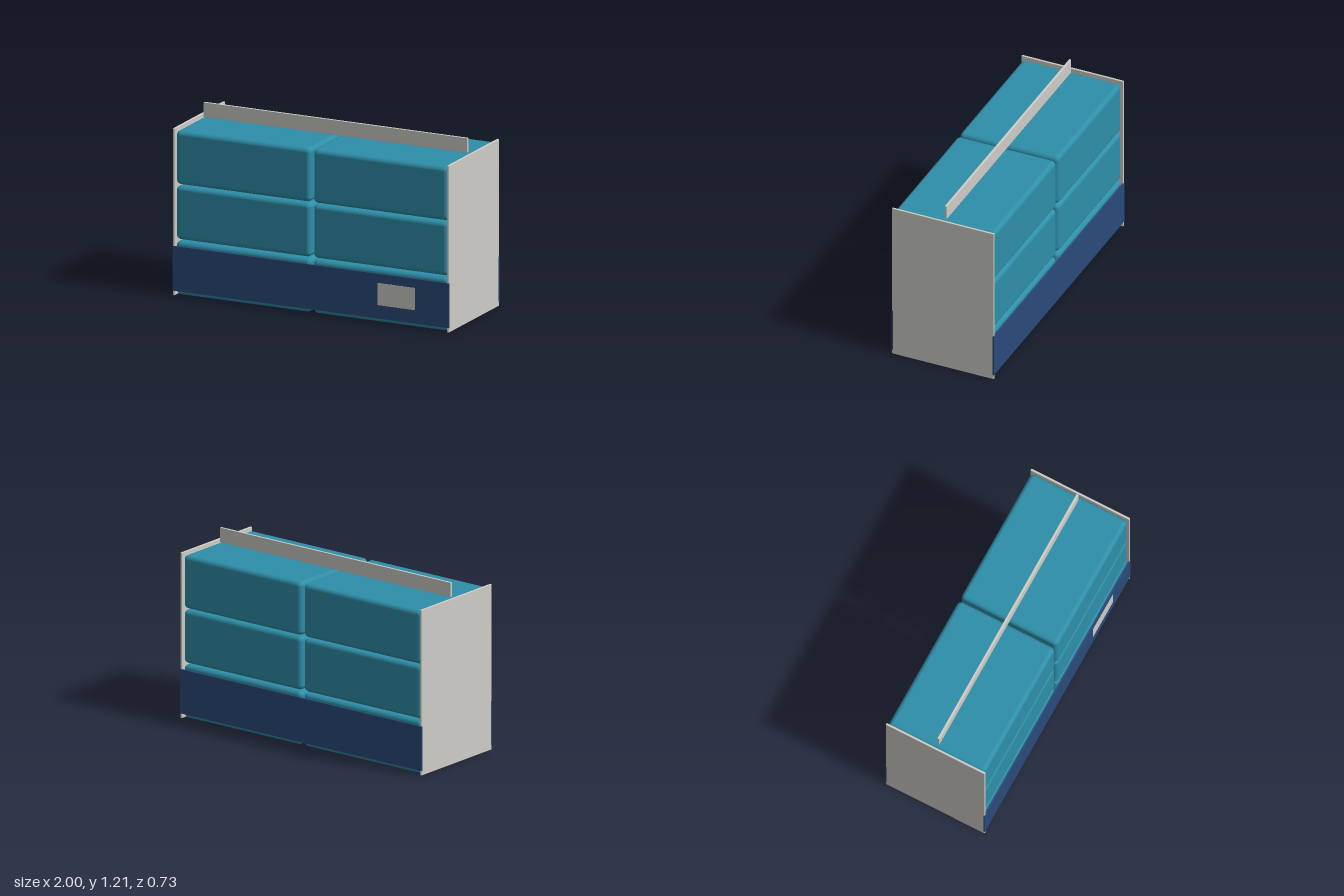
import * as THREE from 'three';
import { RoundedBoxGeometry } from 'three/addons/geometries/RoundedBoxGeometry.js';

export function createModel() {
  const model = new THREE.Group();
  model.name = 'packCrate';

  const material = (name, color) => {
    const m = new THREE.MeshStandardMaterial({ color });
    m.name = name;
    return m;
  };
  const teal = material('teal', 0x2e8fa9);
  const grey = material('warmGrey', 0xcecdc6);
  const navy = material('navy', 0x2b4a7a);

  const add = (name, geometry, mat, x, y, z) => {
    const mesh = new THREE.Mesh(geometry, mat);
    mesh.name = name;
    mesh.position.set(x, y, z);
    model.add(mesh);
    return mesh;
  };

  // Six soft-edged packs: three layers of two
  const packGeometry = new RoundedBoxGeometry(0.974, 0.36, 0.706, 4, 0.03);
  for (let row = 0; row < 3; row++) {
    for (const side of [-1, 1]) {
      add('pack', packGeometry, teal, side * 0.497, 0.184 + row * 0.37, 0);
    }
  }

  // End panels
  const panelGeometry = new RoundedBoxGeometry(0.015, 1.122, 0.726, 1, 0.004);
  for (const side of [-1, 1]) {
    add(side > 0 ? 'leftPanel' : 'rightPanel', panelGeometry, grey, side * 0.992, 0.561, 0);
  }

  // Bands across the front and back, just proud of the panels
  const bandGeometry = new THREE.BoxGeometry(2, 0.3, 0.01);
  for (const side of [-1, 1]) {
    add(side > 0 ? 'frontBand' : 'backBand', bandGeometry, navy, 0, 0.182, side * 0.359);
  }

  // Small blank tag on the front band
  add('tag', new THREE.BoxGeometry(0.27, 0.15, 0.002), grey, 0.62, 0.197, 0.3635);

  // Upright rail along the top
  add('topRail', new RoundedBoxGeometry(1.91, 0.1, 0.016, 1, 0.003), grey, 0, 1.163, 0);

  return model;
}
